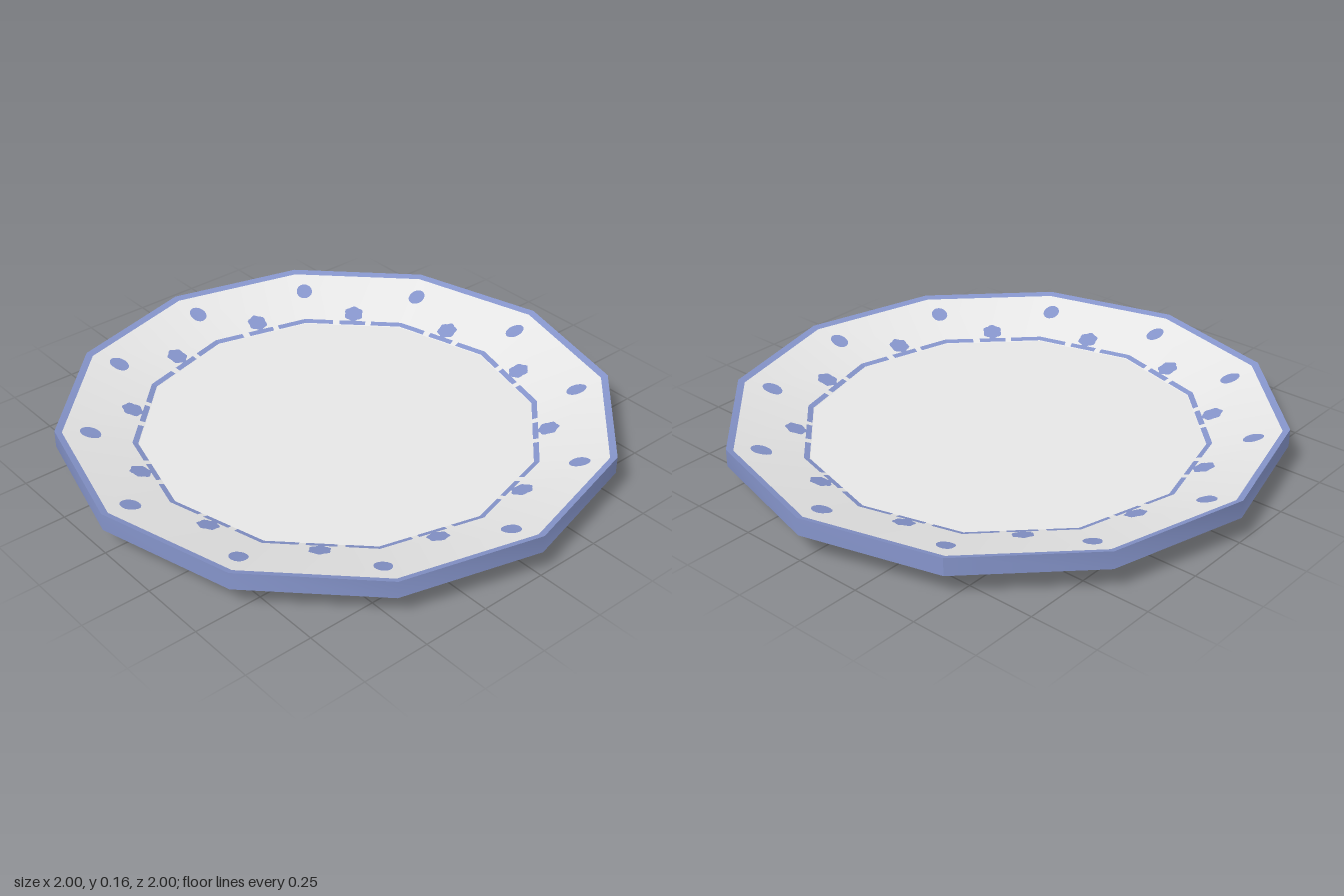
import * as THREE from 'three';

const SIDES = 12, STEP = Math.PI / 6, APOTHEM = Math.cos(STEP / 2);
const FLOOR_R = 0.715, FLOOR_Y = 0.07, TOP_Y = 0.16;
const SLOPE = (TOP_Y - FLOOR_Y) / (1 - FLOOR_R);

export function createModel() {
  const group = new THREE.Group();
  group.name = 'plate';
  const white = new THREE.MeshStandardMaterial({ color: 0xe6e6e6 });
  white.name = 'white glaze';
  const blue = new THREE.MeshStandardMaterial({ color: 0x8594ca });
  blue.name = 'blue paint';

  const add = (name, geometry, material) => {
    const mesh = new THREE.Mesh(geometry, material);
    mesh.name = name;
    group.add(mesh);
    return mesh;
  };

  // One twelve-sided ring between two profile points
  const band = (name, r0, y0, r1, y1, material) => {
    const profile = [new THREE.Vector2(r0, y0), new THREE.Vector2(r1, y1)];
    return add(name, new THREE.LatheGeometry(profile, SIDES, STEP * 4), material);
  };
  const wallY = (r) => FLOOR_Y + (r - FLOOR_R) * SLOPE;
  band('base', 0, 0, 0.72, 0, white);
  band('underside', 0.72, 0, 1, 0.095, white);
  band('rim', 1, 0.095, 1, TOP_Y, blue).geometry.computeVertexNormals();
  band('rimStripe', 1, TOP_Y, 0.975, wallY(0.975), blue);
  band('innerWall', 0.975, wallY(0.975), FLOOR_R, FLOOR_Y, white);
  band('floor', FLOOR_R, FLOOR_Y, 0, FLOOR_Y, white);

  // Lifts a plan point just above the faceted inner wall
  const onWall = (x, z) => {
    const a = Math.atan2(x, z);
    const face = (Math.floor(a / STEP) + 0.5) * STEP;
    const r = Math.hypot(x, z) * Math.cos(a - face) / APOTHEM;
    return [x, Math.max(FLOOR_Y, wallY(r)) + 0.002, z];
  };

  // Painted spot: a fan whose radius follows a rule around its centre
  const spot = (name, angle, r, radius) => {
    const cx = r * Math.sin(angle), cz = r * Math.cos(angle);
    const n = 24, points = [...onWall(cx, cz)], index = [];
    for (let i = 0; i < n; i++) {
      const t = (i / n) * Math.PI * 2, s = radius(t);
      points.push(...onWall(cx + s * Math.sin(t + angle), cz + s * Math.cos(t + angle)));
      index.push(0, i + 1, ((i + 1) % n) + 1);
    }
    const geometry = new THREE.BufferGeometry();
    geometry.setAttribute('position', new THREE.Float32BufferAttribute(points, 3));
    geometry.setIndex(index);
    geometry.computeVertexNormals();
    add(name, geometry, blue);
  };

  // Painted dash along the foot of the wall, between two fractions of a side
  const dash = (side, from, to) => {
    const points = [];
    for (const r of [0.717, 0.737]) {
      for (const f of [from, to]) {
        const a = side * STEP, b = a + STEP;
        const x = r * (Math.sin(a) * (1 - f) + Math.sin(b) * f);
        const z = r * (Math.cos(a) * (1 - f) + Math.cos(b) * f);
        points.push(x, wallY(r) + 0.002, z);
      }
    }
    const geometry = new THREE.BufferGeometry();
    geometry.setAttribute('position', new THREE.Float32BufferAttribute(points, 3));
    geometry.setIndex([0, 2, 1, 1, 2, 3]);
    geometry.computeVertexNormals();
    // Keep the front of the dash facing up
    if (geometry.attributes.normal.getY(0) < 0) {
      geometry.setIndex([0, 1, 2, 1, 3, 2]);
      geometry.computeVertexNormals();
    }
    add('dash', geometry, blue);
  };

  for (let i = 0; i < SIDES; i++) {
    // Drops near the rim, slightly turned past each corner
    spot('drop', i * STEP - 0.02, 0.883, (t) => 0.033 - 0.006 * Math.cos(t - 0.5) + 0.003 * Math.cos(2 * t));
    // Flowers at the middle of each side
    spot('flower', (i + 0.5) * STEP, 0.747, (t) => 0.036 + 0.003 * Math.cos(6 * t));
    dash(i, 0, 0.31);
    dash(i, 0.37, 0.64);
    dash(i, 0.71, 1);
  }
  return group;
}
